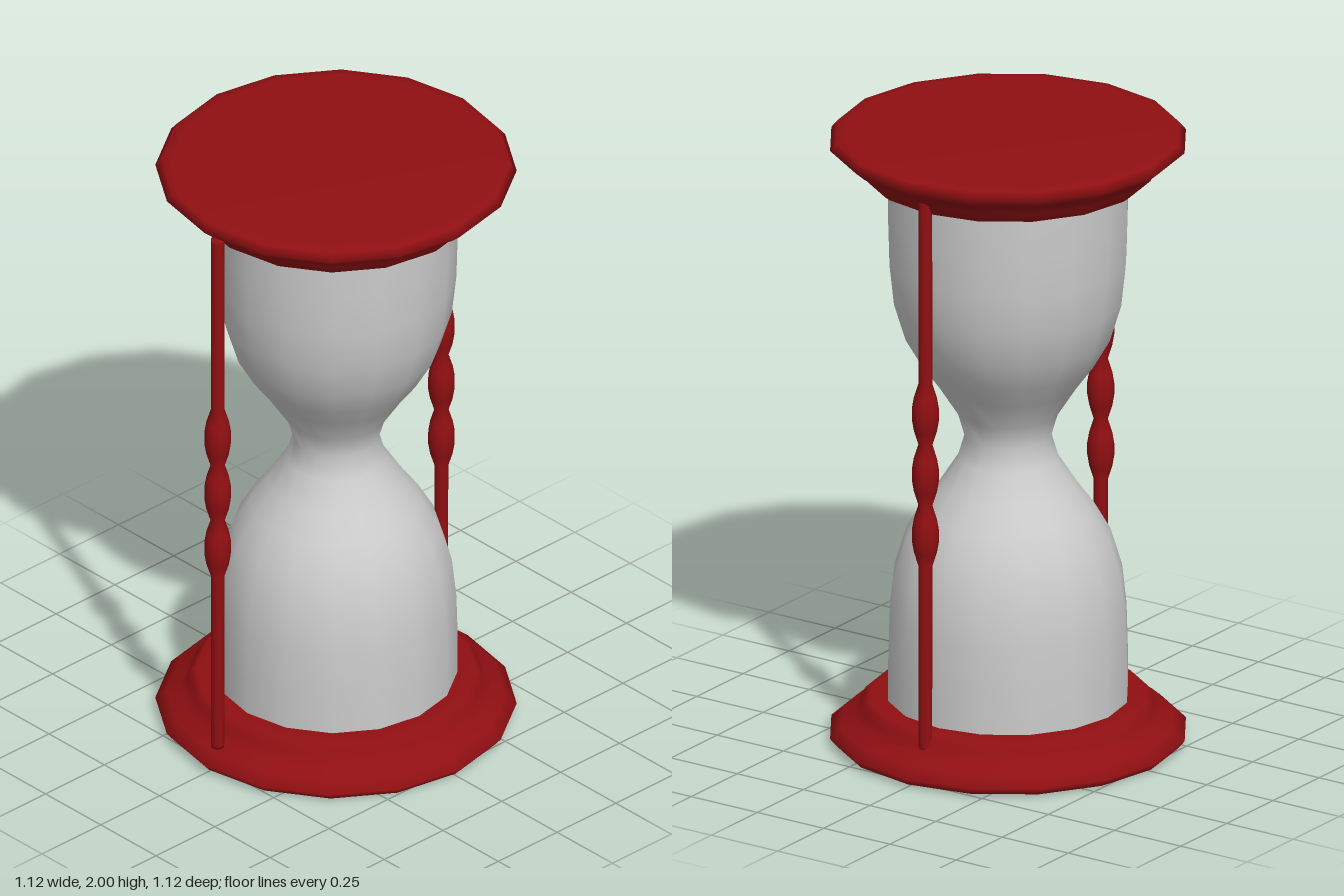
import * as THREE from 'three';

const red = new THREE.MeshStandardMaterial({ color: 0x900f12 });
const grey = new THREE.MeshStandardMaterial({ color: 0xcccccc });

// Turned part from [radius, height] pairs listed bottom to top
function turned(name, profile, sides, material) {
  const points = profile.map(([r, y]) => new THREE.Vector2(r, y));
  const mesh = new THREE.Mesh(new THREE.LatheGeometry(points, sides), material);
  mesh.name = name;
  return mesh;
}

// Flip a profile about the mid height, keeping bottom-to-top order
const flip = (profile) => profile.map(([r, y]) => [r, 2 - y]).reverse();

export function createModel() {
  const model = new THREE.Group();
  model.name = 'hourglass';

  // Moulded end plates
  const plate = [
    [0, 0], [0.5, 0], [0.54, 0.006], [0.56, 0.03], [0.525, 0.06],
    [0.48, 0.085], [0.46, 0.11], [0.452, 0.13], [0.435, 0.143], [0.4, 0.143], [0, 0.143],
  ];
  model.add(turned('basePlate', plate, 16, red));
  model.add(turned('topPlate', flip(plate), 16, red));

  // Glass with two mirrored bulbs
  const bulb = [
    [0.377, 0.13], [0.377, 0.28], [0.373, 0.42], [0.359, 0.55], [0.322, 0.67],
    [0.27, 0.76], [0.215, 0.835], [0.157, 0.925],
  ];
  model.add(turned('glass', [...bulb, [0.135, 1], ...flip(bulb)], 16, grey));

  // Posts with three turned beads
  const beads = [];
  for (const y of [0.8, 1, 1.2]) {
    beads.push([0.022, y - 0.1], [0.036, y - 0.055], [0.042, y - 0.02], [0.042, y + 0.02], [0.036, y + 0.055]);
  }
  beads.push([0.022, 1.3]);
  for (const [name, x, end] of [['leftPost', 0.448, 0.095], ['rightPost', -0.503, 0.077]]) {
    const profile = [
      [0, end], [0.021, end], [0.021, end + 0.01], ...beads,
      [0.021, 1.99 - end], [0.021, 2 - end], [0, 2 - end],
    ];
    const post = turned(name, profile, 12, red);
    post.position.x = x;
    model.add(post);
  }

  return model;
}
